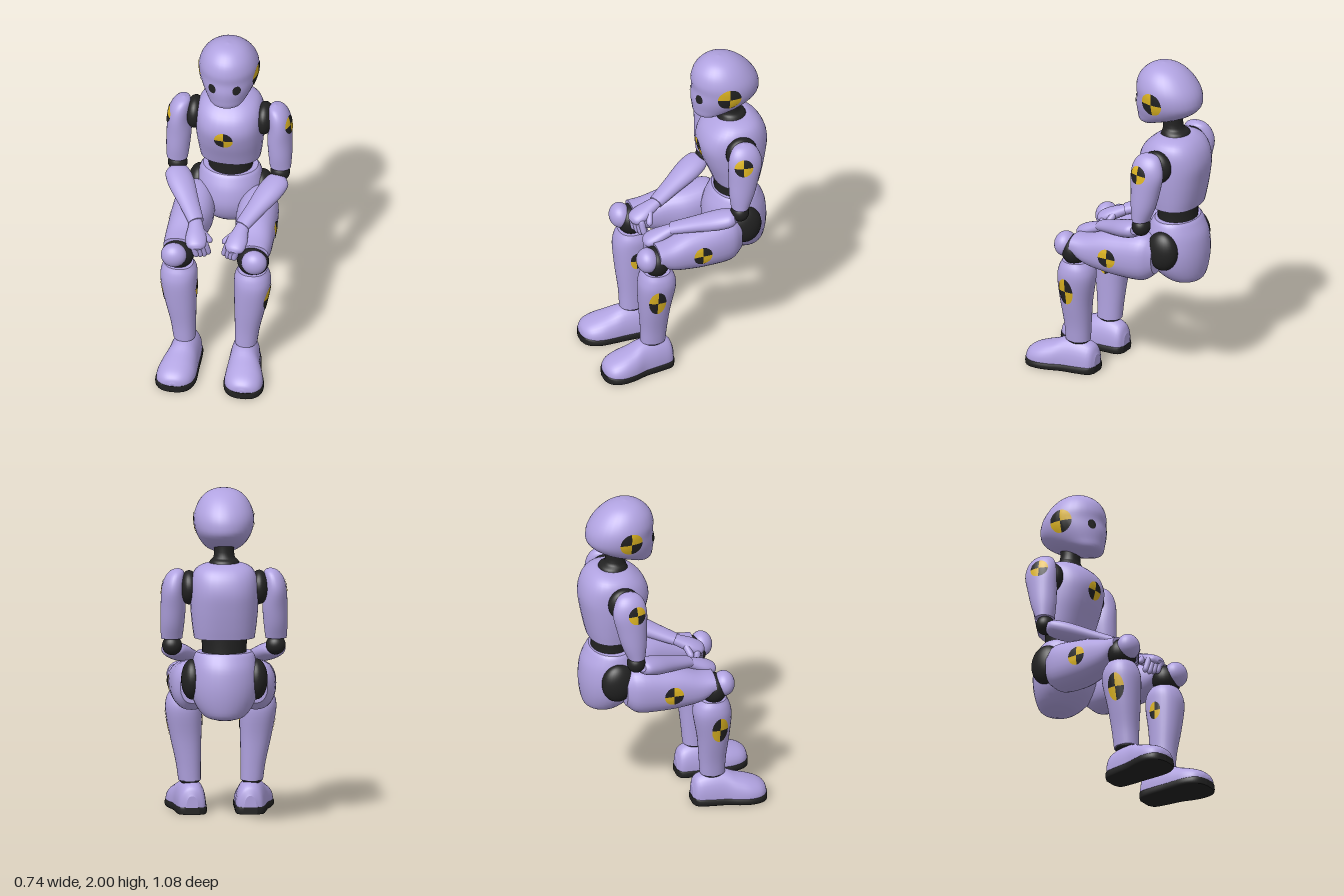
import * as THREE from 'three';

const mat = (name, color) => Object.assign(new THREE.MeshStandardMaterial({ color }), { name });
const V = (x, y, z) => new THREE.Vector3(x, y, z);
const Y = V(0, 1, 0), Z = V(0, 0, 1);

function part(name, geometry, material) {
  const mesh = new THREE.Mesh(geometry, material);
  mesh.name = name;
  return mesh;
}

function build(positions, index) {
  const g = new THREE.BufferGeometry();
  g.setAttribute('position', new THREE.Float32BufferAttribute(positions, 3));
  g.setIndex(index);
  g.computeVertexNormals();
  return g;
}

// Smooth skin over elliptical rings [x, y, z, halfWidth, halfDepth], listed along dir, with flat caps.
function loft(rings, dir = Y, { power = 1, low = -9, high = 9, sides = 32, steps = 4 } = {}) {
  const u = dir.z || dir.x ? Y.clone().cross(dir).normalize() : V(1, 0, 0);
  const v = dir.clone().cross(u);
  const centres = new THREE.CatmullRomCurve3(rings.map(r => V(r[0], r[1], r[2])), false, 'catmullrom');
  const radii = new THREE.CatmullRomCurve3(rings.map(r => V(r[3], r[4], 0)), false, 'catmullrom');
  const n = (rings.length - 1) * steps, pos = [], idx = [];
  const bend = k => Math.sign(k) * Math.abs(k) ** power;
  const addPoint = p => pos.push(p.x, THREE.MathUtils.clamp(p.y, low, high), p.z);
  const addRing = i => {
    const c = centres.getPoint(i / n), r = radii.getPoint(i / n);
    for (let j = 0; j < sides; j++) {
      const a = j / sides * Math.PI * 2;
      addPoint(c.clone().addScaledVector(u, Math.max(r.x, 0.001) * bend(Math.cos(a)))
        .addScaledVector(v, Math.max(r.y, 0.001) * bend(Math.sin(a))));
    }
    return c;
  };
  for (let i = 0; i <= n; i++) addRing(i);
  for (let i = 0; i < n; i++) for (let j = 0; j < sides; j++) {
    const k = (j + 1) % sides, a = i * sides + j, b = i * sides + k;
    idx.push(a, b, a + sides, b, b + sides, a + sides);
  }
  for (const end of [0, n]) {
    const start = pos.length / 3, c = addRing(end);
    addPoint(c);
    for (let j = 0; j < sides; j++) {
      const a = start + j, b = start + (j + 1) % sides, m = start + sides;
      end ? idx.push(a, b, m) : idx.push(b, a, m);
    }
  }
  return build(pos, idx);
}

// Loft along a straight line; stations are [fraction, halfWidth, halfDepth].
function along(p, q, stations, options) {
  const rings = stations.map(([t, a, b]) => [...p.clone().lerp(q, t).toArray(), a, b]);
  return loft(rings, q.clone().sub(p).normalize(), options);
}

const finger = (p, q, r) => along(p, q,
  [[0, r * 0.5, r * 0.5], [0.12, r, r], [0.5, r, r], [0.85, r * 0.85, r * 0.85], [1, 0.001, 0.001]], { sides: 12, steps: 3 });

const ball = (x, y, z, a, b, c) => new THREE.SphereGeometry(1, 28, 20).scale(a, b, c).translate(x, y, z);

function mirror(mesh) {
  const g = mesh.geometry.clone().scale(-1, 1, 1), i = g.index.array;
  for (let k = 0; k < i.length; k += 3) [i[k], i[k + 1]] = [i[k + 1], i[k]];
  return part(mesh.name.replace('left', 'right'), g, mesh.material);
}

// A thin patch laid on the surface of a mesh, spanning angles from a0 to a1.
function patch(target, centre, dir, rx, ry, a0, a1) {
  const d = dir.clone().normalize(), right = Y.clone().cross(d).normalize(), up = d.clone().cross(right);
  const ray = new THREE.Raycaster(), pos = [], idx = [], R = 6;
  const A = Math.ceil((a1 - a0) / 0.2);
  let last = centre;
  for (let i = 0; i <= R; i++) for (let j = 0; j <= A; j++) {
    const a = a0 + (a1 - a0) * j / A, r = i / R;
    const o = centre.clone().addScaledVector(right, rx * r * Math.cos(a)).addScaledVector(up, ry * r * Math.sin(a));
    ray.set(o.addScaledVector(d, 0.5), d.clone().negate());
    const hit = ray.intersectObject(target)[0];
    if (hit) last = hit.point;
    pos.push(...last.clone().addScaledVector(d, 0.004).toArray());
    if (i < R && j < A) {
      const k = i * (A + 1) + j, m = k + A + 1;
      idx.push(k, m, m + 1, k, m + 1, k + 1);
    }
  }
  return build(pos, idx);
}

export function createModel() {
  const skin = mat('lavender', 0xb1a3e1), dark = mat('black', 0x222222), yellow = mat('yellow', 0xdfb622);
  const model = new THREE.Group();
  model.name = 'seatedDummy';
  const add = (name, g, m = skin) => {
    const mesh = part(name, g, m);
    model.add(mesh);
    return mesh;
  };
  const pair = (name, g, m = skin) => {
    const mesh = add('left' + name, g, m);
    model.add(mirror(mesh));
    return mesh;
  };
  // Round target in four alternating quarters
  const target = (put, name, mesh, centre, dir, rx, ry = rx) => {
    for (let q = 0; q < 4; q++)
      put(name, patch(mesh, centre, dir, rx, ry, q * Math.PI / 2, (q + 1) * Math.PI / 2), q % 2 ? yellow : dark);
  };

  // Head, eyes and neck
  const head = add('head', loft([
    [0, 1.603, -0.17, 0.03, 0.02], [0, 1.63, -0.18, 0.09, 0.078], [0, 1.68, -0.245, 0.132, 0.155],
    [0, 1.74, -0.282, 0.162, 0.198], [0, 1.8, -0.291, 0.175, 0.2],
    [0, 1.86, -0.28, 0.172, 0.192], [0, 1.92, -0.267, 0.147, 0.16], [0, 1.965, -0.26, 0.108, 0.112],
    [0, 1.99, -0.255, 0.06, 0.06], [0, 2, -0.253, 0.002, 0.002]]));
  pair('Eye', patch(head, V(0.073, 1.765, -0.1), Z, 0.023, 0.03, 0, Math.PI * 2), dark);
  target(pair, 'HeadTarget', head, V(0.17, 1.79, -0.262), V(1, 0, 0), 0.07);
  add('neck', loft([
    [0, 1.54, -0.33, 0.1, 0.095], [0, 1.58, -0.33, 0.082, 0.08],
    [0, 1.61, -0.315, 0.06, 0.06], [0, 1.72, -0.31, 0.06, 0.06]]), dark);

  // Trunk
  const chest = add('chest', loft([
    [0, 1.13, -0.35, 0.178, 0.135], [0, 1.2, -0.345, 0.188, 0.157], [0, 1.3, -0.335, 0.198, 0.187],
    [0, 1.4, -0.33, 0.2, 0.205], [0, 1.48, -0.335, 0.192, 0.185], [0, 1.535, -0.345, 0.165, 0.14],
    [0, 1.565, -0.35, 0.11, 0.09], [0, 1.57, -0.35, 0.05, 0.05]], Y, { power: 0.85 }));
  target(add, 'chestTarget', chest, V(-0.01, 1.365, -0.13), Z, 0.056);
  add('waist', loft([[0, 0.98, -0.345, 0.13, 0.115], [0, 1.07, -0.345, 0.13, 0.115], [0, 1.16, -0.345, 0.138, 0.118]]), dark);
  add('pelvis', loft([
    [0, 0.648, -0.405, 0.05, 0.05], [0, 0.672, -0.395, 0.12, 0.11], [0, 0.75, -0.36, 0.178, 0.168],
    [0, 0.85, -0.345, 0.202, 0.19], [0, 0.95, -0.345, 0.195, 0.178],
    [0, 1.02, -0.345, 0.178, 0.144], [0, 1.045, -0.345, 0.162, 0.125]]));

  // Arms
  pair('ShoulderJoint', ball(0.205, 1.42, -0.32, 0.058, 0.1, 0.095), dark);
  const arm = pair('UpperArm', loft([
    [0.305, 1.112, -0.275, 0.062, 0.052], [0.302, 1.2, -0.288, 0.07, 0.075], [0.298, 1.3, -0.3, 0.073, 0.09],
    [0.299, 1.4, -0.31, 0.067, 0.102], [0.29, 1.47, -0.31, 0.06, 0.09],
    [0.276, 1.515, -0.31, 0.04, 0.058], [0.27, 1.532, -0.31, 0.004, 0.004]]));
  target(pair, 'ArmTarget', arm, V(0.345, 1.415, -0.285), V(1, 0.2, 0.25), 0.055);
  pair('ElbowJoint', ball(0.303, 1.07, -0.275, 0.058, 0.058, 0.054), dark);
  pair('Forearm', along(V(0.312, 1.045, -0.25), V(0.135, 0.925, 0.09),
    [[0, 0.045, 0.03], [0.08, 0.072, 0.047], [0.3, 0.078, 0.052], [0.65, 0.06, 0.042], [1, 0.046, 0.032]]));

  // Hands with curled fingers
  pair('Palm', along(V(0.14, 0.925, 0.08), V(0.108, 0.845, 0.255),
    [[0, 0.037, 0.028], [0.25, 0.047, 0.034], [0.6, 0.062, 0.038], [0.88, 0.054, 0.032], [1, 0.02, 0.012]]));
  for (let i = 0; i < 4; i++)
    pair('Finger' + (i + 1), finger(V(0.07 + i * 0.02, 0.87, 0.205 + i * 0.012),
      V(0.042 + i * 0.022, 0.762 + Math.abs(i - 1.2) * 0.008, 0.19 + i * 0.014), 0.019));
  pair('Thumb', finger(V(0.1, 0.9, 0.14), V(0.03, 0.84, 0.165), 0.02));

  // Hips and thighs
  pair('HipJoint', ball(0.187, 0.88, -0.35, 0.066, 0.12, 0.098), dark);
  const thigh = pair('Thigh', loft([
    [0.185, 0.83, -0.31, 0.07, 0.1], [0.188, 0.825, -0.24, 0.112, 0.145], [0.19, 0.815, -0.1, 0.123, 0.14],
    [0.207, 0.81, 0.02, 0.107, 0.122], [0.219, 0.805, 0.13, 0.096, 0.09], [0.222, 0.825, 0.215, 0.088, 0.058]],
    Z, { power: 0.88 }));
  target(pair, 'ThighTarget', thigh, V(0.3, 0.81, -0.045), V(1, 0, 0), 0.057);

  // Knees and shins
  pair('KneeJoint', ball(0.222, 0.778, 0.218, 0.094, 0.09, 0.08), dark);
  pair('KneeCap', ball(0.238, 0.808, 0.276, 0.076, 0.075, 0.064));
  const shin = pair('Shin', loft([
    [0.182, 0.19, 0.222, 0.066, 0.074], [0.19, 0.3, 0.22, 0.074, 0.08], [0.205, 0.45, 0.22, 0.092, 0.095],
    [0.217, 0.6, 0.212, 0.107, 0.113], [0.217, 0.67, 0.21, 0.104, 0.104], [0.217, 0.715, 0.213, 0.085, 0.08]],
    Y, { power: 0.9 }));
  target(pair, 'OuterShinTarget', shin, V(0.3, 0.535, 0.235), V(1, 0, 0), 0.05, 0.085);
  target(pair, 'InnerShinTarget', shin, V(0.12, 0.545, 0.215), V(-1, 0, 0), 0.038, 0.055);

  // Feet: one outline gives both shoe and sole
  pair('AnkleJoint', ball(0.182, 0.188, 0.222, 0.06, 0.025, 0.068), dark);
  const outline = [
    [0.17, 0.1, 0.035, 0.07], [0.17, 0.125, 0.075, 0.125], [0.175, 0.2, 0.088, 0.152], [0.182, 0.29, 0.095, 0.15],
    [0.193, 0.36, 0.108, 0.122], [0.2, 0.43, 0.114, 0.098], [0.204, 0.49, 0.1, 0.074],
    [0.205, 0.525, 0.065, 0.048], [0.205, 0.538, 0.02, 0.02]];
  pair('Shoe', loft(outline.map(([x, z, a, h]) => [x, 0.04, z, a, h]), Z, { power: 0.9, low: 0.035 }));
  pair('Sole', loft(outline.map(([x, z, a]) => [x, 0.02, z * 1.01 - 0.003, a + 0.006, 0.06]),
    Z, { power: 0.9, low: 0, high: 0.042 }), dark);

  return model;
}
